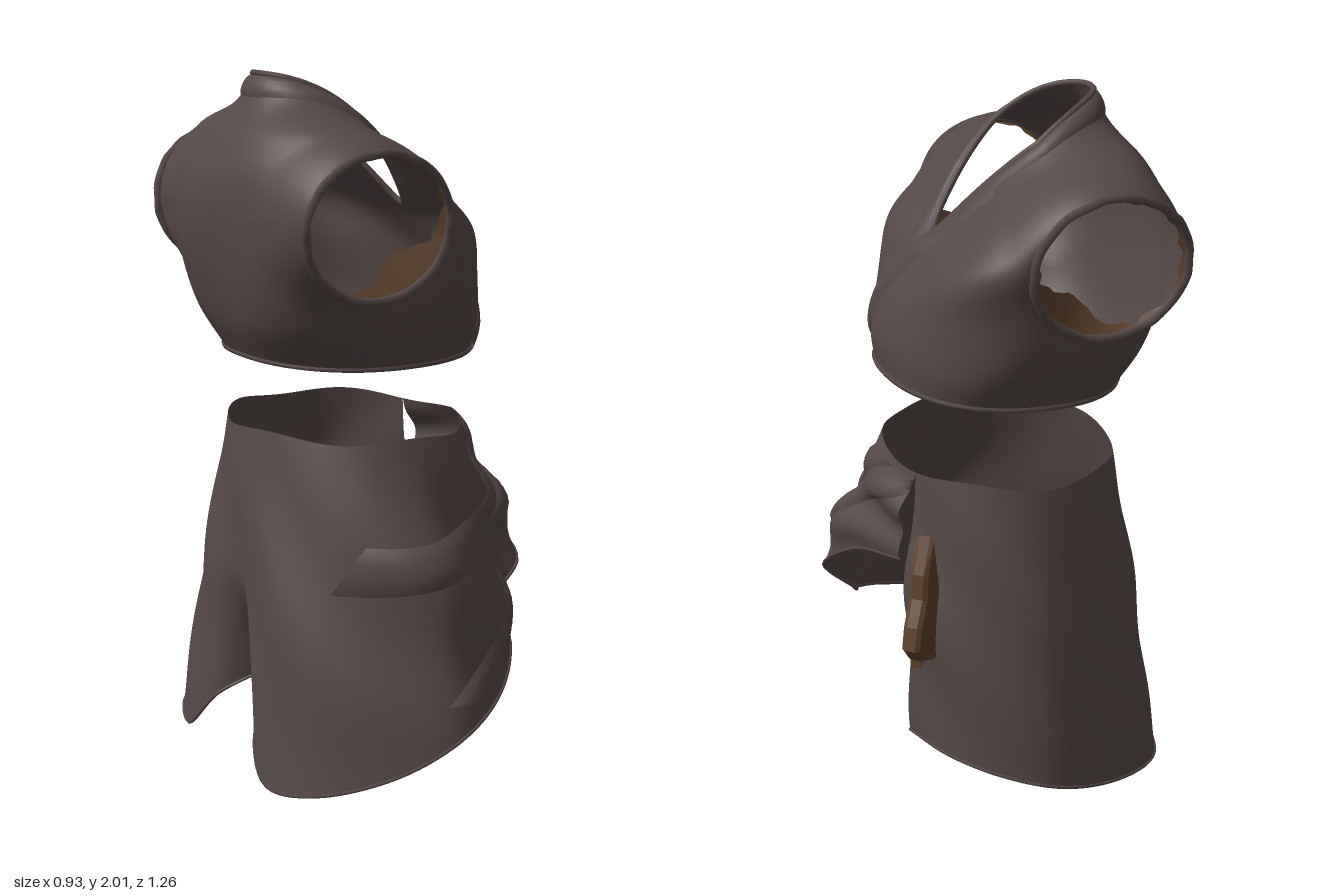
import * as THREE from 'three';

const V = (x, y, z) => new THREE.Vector3(x, y, z);
const clamp = THREE.MathUtils.clamp;
const cloth = new THREE.MeshStandardMaterial({ color: 0x544846, side: THREE.DoubleSide });
cloth.name = 'dark cloth';
const leather = new THREE.MeshStandardMaterial({ color: 0x5f422c, side: THREE.DoubleSide });
leather.name = 'brown leather';

let seed = 7;
const rand = () => (seed = (seed * 16807) % 2147483647) / 2147483647;

// Grid surface over u (0..1) and v (0..1); keep() may drop cells
function grid(f, nu, nv, { closed = false, flip = false, keep = () => true } = {}) {
  const pos = [], idx = [], cols = closed ? nu : nu + 1;
  for (let j = 0; j <= nv; j++)
    for (let i = 0; i < cols; i++) pos.push(...f(i / nu, j / nv).toArray());
  for (let j = 0; j < nv; j++)
    for (let i = 0; i < nu; i++) {
      const n = (i + 1) % cols;
      const a = j * cols + i, b = j * cols + n, c = a + cols, d = b + cols;
      if (!keep([[i, j], [i + 1, j], [i, j + 1], [i + 1, j + 1]].map(([p, q]) => [p / nu, q / nv]))) continue;
      if (flip) idx.push(a, b, c, b, d, c);
      else idx.push(a, c, b, b, c, d);
    }
  const g = new THREE.BufferGeometry();
  g.setAttribute('position', new THREE.Float32BufferAttribute(pos, 3));
  g.setIndex(idx);
  g.computeVertexNormals();
  return g;
}

function add(group, name, geometry, material) {
  const m = new THREE.Mesh(geometry, material);
  m.name = name;
  group.add(m);
  return m;
}

// Tilted loops of the vest, waist to neck: back x,y, front x,y, side y, z min, z max, squareness, front pinch
const loops = [
  [-0.35, 1.19, 0.315, 1.21, 1.19, -0.43, 0.33, 2.3, 0],
  [-0.42, 1.32, 0.315, 1.30, 1.30, -0.47, 0.385, 2.5, 0],
  [-0.465, 1.55, 0.275, 1.44, 1.48, -0.505, 0.42, 2.8, 0],
  [-0.455, 1.70, 0.23, 1.53, 1.68, -0.54, 0.44, 2.9, 0],
  [-0.41, 1.81, 0.20, 1.57, 1.80, -0.48, 0.38, 2.4, 0.1],
  [-0.34, 1.91, 0.17, 1.595, 1.855, -0.29, 0.19, 2, 0.3],
  [-0.30, 1.995, 0.15, 1.61, 1.88, -0.22, 0.11, 2, 0.5],
];
function loopPoint([xb, yb, xf, yf, ys, z0, z1, e, pinch], a) {
  const c = Math.cos(a), s = Math.sin(a);
  const r = Math.pow(Math.pow(Math.abs(c), e) + Math.pow(Math.abs(s), e), -1 / e);
  const narrow = 1 - pinch * Math.max(0, c);
  return V((xb + xf) / 2 + c * r * (xf - xb) / 2,
    ys + c * (yf - yb) / 2 + c * c * ((yf + yb) / 2 - ys),
    (z0 + z1) / 2 + s * r * narrow * (z1 - z0) / 2 + pinch * 0.08 * Math.max(0, c));
}
function vestAt(a, t) {
  const p = new THREE.CatmullRomCurve3(loops.map(l => loopPoint(l, a))).getPoint(clamp(t, 0, 1));
  const k = 1 + 0.018 * Math.sin(Math.PI * t) * Math.sin(5 * a + 9 * t);
  return V(-0.08 + (p.x + 0.08) * k, p.y, -0.06 + (p.z + 0.06) * k);
}
// Point on the chest at a given z and y, found by damped Newton steps
function chestAt(z, y) {
  let a = clamp((z + 0.05) / 0.45, -1, 1), t = 0.5;
  const h = 0.004;
  for (let i = 0; i < 22; i++) {
    const p = vestAt(a, t), pa = vestAt(a + h, t), pt = vestAt(a, t - h);
    const za = (pa.z - p.z) / h, ya = (pa.y - p.y) / h, zt = (p.z - pt.z) / h, yt = (p.y - pt.y) / h;
    const det = za * yt - zt * ya || 1e-6, dz = z - p.z, dy = y - p.y;
    a = clamp(a + clamp((dz * yt - zt * dy) / det, -0.12, 0.12), -1.6, 1.6);
    t = clamp(t + clamp((za * dy - dz * ya) / det, -0.1, 0.1), 0.006, 0.995);
  }
  return vestAt(a, t);
}

// Armholes: ellipses on slightly leaning planes
const hole = { x: -0.18, y: 1.6, rx: 0.215, ry: 0.195 };
const holeZ = (y, side) => side > 0 ? 0.395 + (y - 1.4) * 0.11 : -(0.48 + (y - 1.4) * 0.17);
const holeE = p => Math.hypot((p.x - hole.x) / hole.rx, (p.y - hole.y) / hole.ry);
const isSide = p => p.z > 0.2 || p.z < -0.32;
const holePoint = (a, e, side, out = 0) => {
  const y = hole.y + Math.sin(a) * hole.ry * e;
  return V(hole.x + Math.cos(a) * hole.rx * e, y, holeZ(y, side) + side * out);
};
function vestWithArmholes(u, t) {
  const p = vestAt(u * Math.PI * 2, t);
  if (!isSide(p)) return p;
  const e = holeE(p);
  const side = Math.sign(p.z);
  if (e < 1) {
    const a = Math.atan2((p.y - hole.y) / hole.ry, (p.x - hole.x) / hole.rx);
    return holePoint(a, 1, side);
  }
  const w = Math.max(0, 1 - (e - 1) / 0.3);
  p.z += (holeZ(p.y, side) - p.z) * w;
  return p;
}

// Skirt hem, from the front edge round the model to the hanging front panel
const hem = new THREE.CatmullRomCurve3([
  [0.34, 0.72, -0.24], [0.40, 0.66, 0], [0.45, 0.54, 0.17], [0.34, 0.43, 0.21], [0.30, 0.36, 0.36],
  [0.15, 0.27, 0.54], [-0.03, 0.19, 0.625], [-0.2, 0.09, 0.56], [-0.38, 0.015, 0.4], [-0.45, 0.01, 0.24],
  [-0.43, 0.15, 0.11], [-0.41, 0.28, 0], [-0.43, 0.18, -0.11], [-0.45, 0.04, -0.25], [-0.37, 0.05, -0.45],
  [-0.18, 0.08, -0.58], [0, 0.12, -0.62], [0.15, 0.15, -0.55], [0.26, 0.17, -0.42], [0.32, 0.18, -0.26],
].map(p => V(...p)));
function skirtAt(u, t) {
  u = clamp(u, 0, 1);
  const a = -0.4 + Math.PI * 2 * u;
  const top = V(-0.015 + 0.325 * Math.cos(a), 0.98 + 0.008 * Math.sin(5 * a), -0.075 + 0.405 * Math.sin(a));
  const p = top.lerp(hem.getPoint(u), t);
  const swell = Math.sin(Math.PI * t);
  const front = Math.max(0, Math.cos(a - 0.6));
  const k = swell * (0.022 + (0.008 + 0.016 * front) * Math.sin(6 * a + 10 * t));
  // The back vent tucks inwards at the hem
  const tuck = 0.28 * Math.exp(-(((u - 0.579) / 0.034) ** 2)) * t ** 5;
  return V(p.x + Math.cos(a) * k + tuck, p.y, p.z + Math.sin(a) * k);
}

// Flat raised layer lying on a surface along a path of surface coordinates
function fold(surface, path, width, height, n = 48) {
  const curve = new THREE.CatmullRomCurve3(path.map(([a, t]) => V(a, t, 0)));
  return grid((u, v) => {
    const q = curve.getPoint(u), d = curve.getTangent(u);
    const a = q.x - d.y * width[0] * (v - 0.5), t = q.y + d.x * width[1] * (v - 0.5);
    const p = surface(a, t), h = 0.01;
    const n1 = surface(a + h, t).sub(surface(a - h, t));
    const n2 = surface(a, t + h).sub(surface(a, t - h));
    const normal = n1.cross(n2).normalize();
    if (normal.x * (p.x + 0.05) + normal.z * (p.z + 0.06) < 0) normal.negate();
    return p.addScaledVector(normal, 0.002 + height * Math.sqrt(Math.max(0, Math.sin(Math.PI * v))));
  }, n, 6);
}

export function createModel() {
  const model = new THREE.Group();

  // Vest
  const vest = new THREE.Group();
  vest.name = 'vest';
  model.add(vest);
  const inHole = ([u, t]) => {
    const p = vestAt(u * Math.PI * 2, t);
    return isSide(p) && holeE(p) < 1;
  };
  add(vest, 'vestBody', grid(vestWithArmholes, 112, 44, { closed: true, keep: c => !c.every(inHole) }), cloth);

  // Crossing lapels and collar
  add(vest, 'outerLapel', fold(chestAt,
    [[0.25, 1.22], [0.13, 1.38], [0.01, 1.53], [-0.1, 1.65], [-0.19, 1.77]], [0.08, 0.08], 0.01, 36), cloth);
  add(vest, 'innerLapel', fold(chestAt,
    [[0.0, 1.57], [0.06, 1.65], [0.12, 1.76]], [0.06, 0.06], 0.008, 20), cloth);
  add(vest, 'collar', fold(vestAt,
    [[0.6, 0.92], [1.6, 0.93], [3.14, 0.93], [4.7, 0.93], [5.7, 0.92]], [0.1, 0.12], 0.01), cloth);
  const ring = t => new THREE.CatmullRomCurve3(
    Array.from({ length: 48 }, (_, i) => vestAt(i / 48 * Math.PI * 2, t)), true);
  add(vest, 'neckRim', new THREE.TubeGeometry(ring(1), 96, 0.009, 6, true), cloth);
  add(vest, 'waistHem', new THREE.TubeGeometry(ring(0.01), 96, 0.008, 5, true), cloth);

  // Armhole rims and torn linings
  for (const side of [1, -1]) {
    const rim = new THREE.CatmullRomCurve3(
      Array.from({ length: 40 }, (_, i) => holePoint(i / 40 * Math.PI * 2, 1.03 + 0.02 * rand(), side, 0.006 * rand())), true);
    add(vest, 'armholeRim', new THREE.TubeGeometry(rim, 80, 0.013, 6, true), cloth);
    const n = 44, depth = Array.from({ length: n }, (_, i) => {
      const hump = Math.max(0, Math.cos(i / n * Math.PI * 2 - 5.35));
      return 0.04 + 0.08 * rand() + 0.42 * hump ** 5;
    });
    const lining = grid((u, v) => {
      const d = depth[Math.round(u * n) % n];
      return holePoint(u * Math.PI * 2, 1.05 - v * d, side, v ? -d * 0.12 : 0.012);
    }, n, 1, { closed: true, flip: side < 0 });
    add(vest, 'tornLining', lining, leather);
  }

  // Skirt with a wrapped front and a hanging panel
  const skirt = new THREE.Group();
  skirt.name = 'skirt';
  model.add(skirt);
  add(skirt, 'skirtBody', grid(skirtAt, 160, 36, { flip: true }), cloth);
  const drapes = [
    [[0.0, 0.08], [0.06, 0.35], [0.14, 0.62], [0.22, 0.82], [0.3, 0.92]],
    [[0.07, 0.04], [0.13, 0.24], [0.2, 0.38], [0.3, 0.42], [0.4, 0.36]],
  ];
  drapes.forEach(p => add(skirt, 'drapeFold', fold(skirtAt, p, [0.06, 0.15], 0.012, 40), cloth));
  const hemLine = new THREE.CatmullRomCurve3(Array.from({ length: 81 }, (_, i) => skirtAt(i / 80, 1)));
  add(skirt, 'hemEdge', new THREE.TubeGeometry(hemLine, 160, 0.005, 5), cloth);

  // Thickness of the hanging panel's edge
  add(skirt, 'panelEdge', grid((u, v) => {
    const p = skirtAt(1, 0.3 + 0.7 * v);
    return V(p.x - 0.06 * u, p.y, p.z + 0.012 * u);
  }, 2, 14, { flip: true }), cloth);

  // Leather sheath hanging beside the panel
  const outline = new THREE.Shape([[0, 0.44], [0.1, 0.46], [0.2, 0.5], [0.235, 0.54], [0.22, 0.6], [0.18, 0.67], [0.17, 0.74],
    [0.13, 0.83], [0.1, 0.7], [0.08, 0.57], [0, 0.52]].map(p => new THREE.Vector2(...p)));
  const sheath = add(skirt, 'sheath', new THREE.ExtrudeGeometry(outline,
    { depth: 0.03, bevelEnabled: true, bevelThickness: 0.012, bevelSize: 0.008, bevelSegments: 1 }), leather);
  sheath.position.set(0.21, 0, -0.29);
  sheath.rotation.y = 0.85;
  const strap = add(skirt, 'sheathStrap', new THREE.BoxGeometry(0.03, 0.06, 0.12), leather);
  strap.position.set(0.325, 0.47, -0.345);
  strap.rotation.set(0.25, -0.35, 0);

  return model;
}
